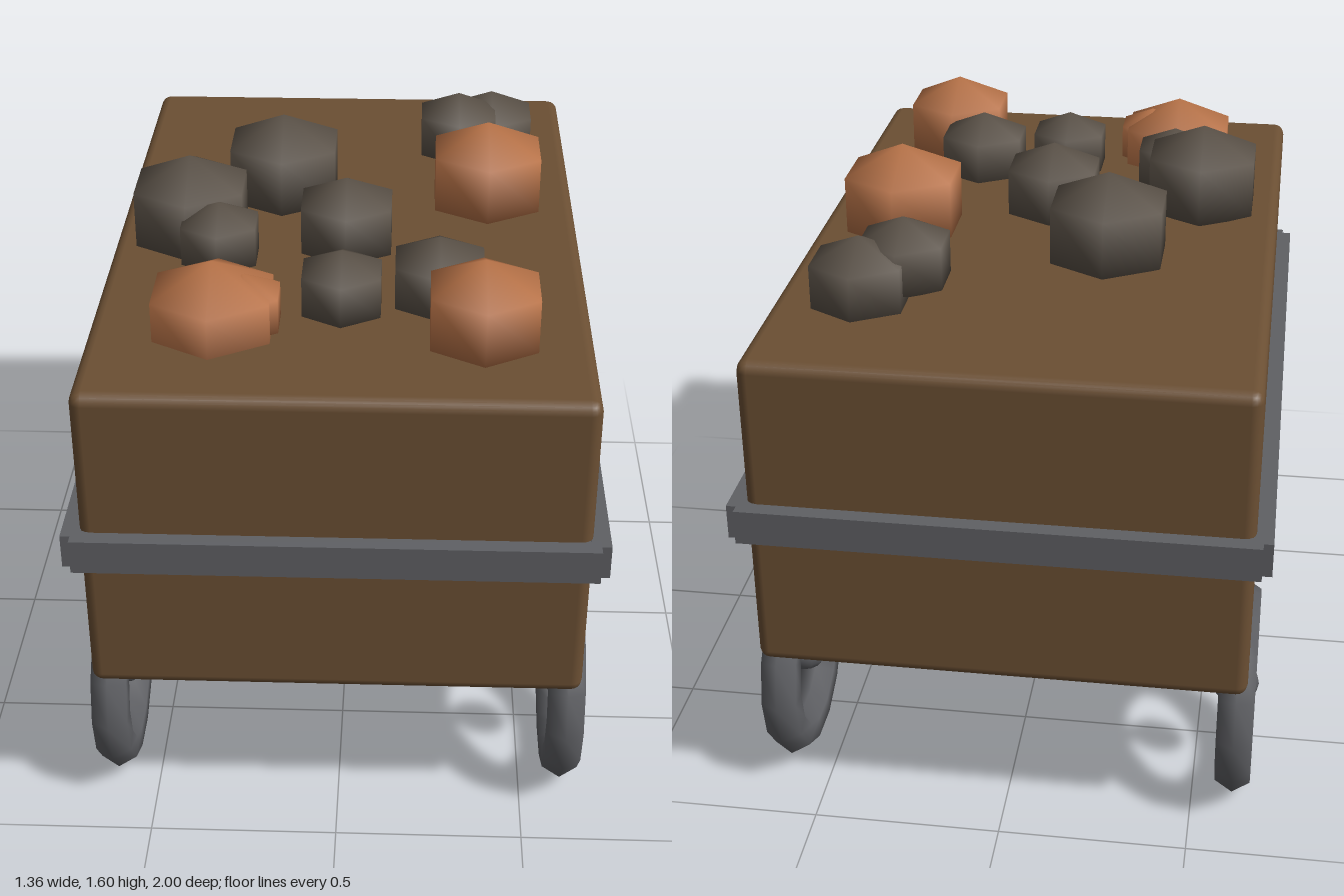
import * as THREE from 'three';
import { RoundedBoxGeometry } from 'three/addons/geometries/RoundedBoxGeometry.js';

const paint = (name, color) => {
  const m = new THREE.MeshStandardMaterial({ color });
  m.name = name;
  return m;
};

export function createModel() {
  const wood = paint('wood', 0x6b4f33);
  const iron = paint('iron', 0x5f6064);
  const stone = paint('dark stone', 0x5a5147);
  const copper = paint('copper ore', 0xb87348);

  const cart = new THREE.Group();
  cart.name = 'oreCart';
  const add = (name, geometry, material, x, y, z, parent = cart) => {
    const mesh = new THREE.Mesh(geometry, material);
    mesh.name = name;
    mesh.position.set(x, y, z);
    parent.add(mesh);
    return mesh;
  };

  // Closed body with softened edges
  add('crate', new RoundedBoxGeometry(1.274, 0.87, 1.914, 2, 0.03), wood, 0, 0.91, 0);

  // Iron band: two long bars and two end bars, notched at the corners
  const sideBar = new THREE.BoxGeometry(0.05, 0.092, 1.95);
  const endBar = new THREE.BoxGeometry(1.31, 0.092, 0.05);
  for (const s of [1, -1]) {
    add('sideBand', sideBar, iron, s * 0.655, 0.908, 0);
    add('endBand', endBar, iron, 0, 0.908, s * 0.975);
  }

  // Wheel sets: an axle with a ring wheel and hub at each end
  const rim = new THREE.TorusGeometry(0.235, 0.055, 6, 14).rotateY(Math.PI / 2);
  const hub = new THREE.SphereGeometry(0.063, 12, 8);
  const axle = new THREE.CylinderGeometry(0.034, 0.034, 1.2, 10).rotateZ(Math.PI / 2);
  for (const z of [0.64, -0.64]) {
    const set = new THREE.Group();
    set.name = z > 0 ? 'frontWheels' : 'rearWheels';
    set.position.set(0, 0.291, z);
    cart.add(set);
    add('axle', axle, iron, 0, 0.006, 0, set);
    for (const s of [1, -1]) {
      add('wheelRim', rim, iron, s * 0.61, 0, 0, set);
      add('hub', hub, iron, s * 0.603, 0.006, 0, set);
    }
  }

  // Ore lumps: squat six-sided balls, given as x, z, radius, top height
  const lump = new THREE.SphereGeometry(1.155, 6, 3).rotateY(Math.PI / 2).scale(1, 0.8, 1);
  const pile = new THREE.Group();
  pile.name = 'orePile';
  cart.add(pile);
  const addLumps = (name, material, list) => {
    for (const [x, z, r, top] of list) {
      add(name, lump, material, x, top - 0.924 * r, z, pile).scale.setScalar(r);
    }
  };
  addLumps('stoneLump', stone, [
    [-0.19, -0.2, 0.17, 1.59],
    [-0.42, 0.14, 0.166, 1.61],
    [-0.33, 0.29, 0.113, 1.545],
    [0, 0.125, 0.14, 1.545],
    [0, 0.49, 0.116, 1.51],
    [0.25, 0.425, 0.132, 1.52],
    [0.41, -0.56, 0.135, 1.525],
    [0.31, -0.48, 0.125, 1.55],
  ]);
  addLumps('copperLump', copper, [
    [-0.32, 0.6, 0.17, 1.53],
    [-0.24, 0.6, 0.1, 1.495],
    [0.36, 0.63, 0.155, 1.56],
    [0.385, -0.115, 0.167, 1.61],
  ]);

  return cart;
}
